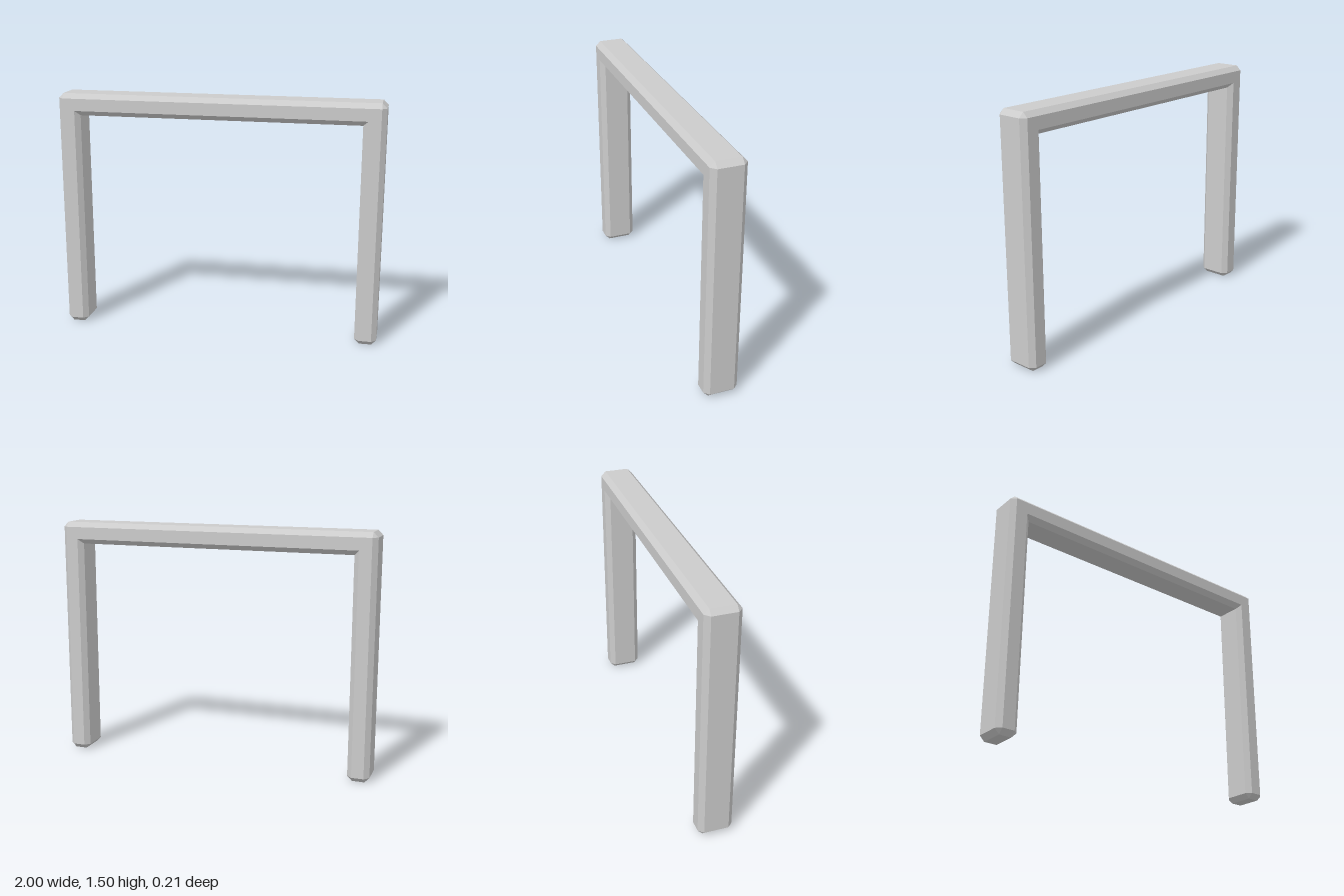
import * as THREE from 'three';

const BEVEL = 0.03;   // chamfer width
const HALF = 0.105;   // half depth of the frame

// Outline of the flat front face, counter-clockwise
const face = [
  [-0.97, 0.03], [-0.895, 0.03], [-0.895, 1.395], [0.895, 1.395],
  [0.895, 0.03], [0.97, 0.03], [0.97, 1.47], [-0.97, 1.47],
].map(([x, y]) => new THREE.Vector2(x, y));

// Outward direction of the edge from a to b
const edgeNormal = (a, b) => new THREE.Vector2(b.y - a.y, a.x - b.x).normalize();

function chamferedFrame() {
  const inner = [], rim = [];
  const n = face.length;
  face.forEach((p, i) => {
    const n0 = edgeNormal(face[(i + n - 1) % n], p);
    const n1 = edgeNormal(p, face[(i + 1) % n]);
    // Outer corners are cut flat, inner corners are mitred
    const offsets = n0.cross(n1) > 0 ? [n0, n1] : [n0.clone().add(n1)];
    for (const o of offsets) {
      inner.push(p);
      rim.push(p.clone().addScaledVector(o, BEVEL));
    }
  });

  const positions = [];
  const at = (p, z) => new THREE.Vector3(p.x, p.y, z);
  const tri = (a, b, c) => {
    const area = b.clone().sub(a).cross(c.clone().sub(a)).length();
    if (area > 1e-8) for (const v of [a, b, c]) positions.push(v.x, v.y, v.z);
  };

  // Chamfers and side walls, from back to front
  const rings = [[inner, -HALF], [rim, BEVEL - HALF], [rim, HALF - BEVEL], [inner, HALF]];
  for (let k = 0; k < 3; k++) {
    const [p, pz] = rings[k], [q, qz] = rings[k + 1];
    for (let i = 0; i < p.length; i++) {
      const j = (i + 1) % p.length;
      const a = at(p[i], pz), b = at(p[j], pz), c = at(q[j], qz), d = at(q[i], qz);
      tri(a, b, c);
      tri(a, c, d);
    }
  }

  // Flat front and back faces
  for (const [a, b, c] of THREE.ShapeUtils.triangulateShape(face, [])) {
    tri(at(face[a], HALF), at(face[b], HALF), at(face[c], HALF));
    tri(at(face[c], -HALF), at(face[b], -HALF), at(face[a], -HALF));
  }

  const geometry = new THREE.BufferGeometry();
  geometry.setAttribute('position', new THREE.Float32BufferAttribute(positions, 3));
  geometry.computeVertexNormals();
  return geometry;
}

export function createModel() {
  const group = new THREE.Group();
  group.name = 'archFrame';
  const material = new THREE.MeshStandardMaterial({ color: 0xcccccc, flatShading: true });
  const frame = new THREE.Mesh(chamferedFrame(), material);
  frame.name = 'frame';
  group.add(frame);
  return group;
}
